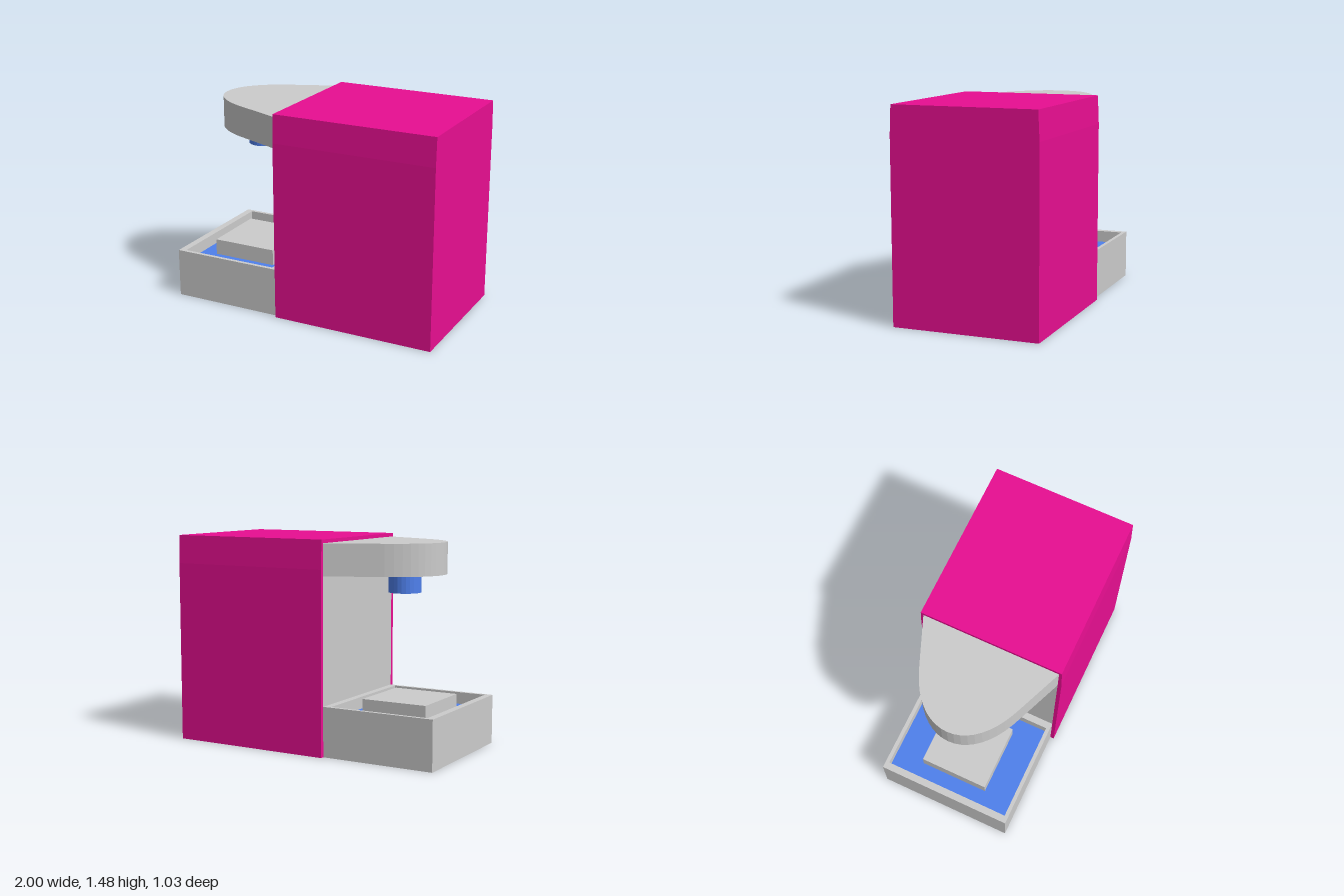
import * as THREE from 'three';

const grey = new THREE.MeshStandardMaterial({ color: 0xcccccc, flatShading: true });
const magenta = new THREE.MeshStandardMaterial({ color: 0xe80e91, flatShading: true });
const blue = new THREE.MeshStandardMaterial({ color: 0x4f80ec, flatShading: true });

export function createModel() {
  const model = new THREE.Group();
  const add = (name, geometry, material) => {
    const mesh = new THREE.Mesh(geometry, material);
    mesh.name = name;
    model.add(mesh);
    return mesh;
  };
  // Box given by its extents, centred on z = 0
  const box = (x0, x1, y0, y1, depth) =>
    new THREE.BoxGeometry(x1 - x0, y1 - y0, depth).translate((x0 + x1) / 2, (y0 + y1) / 2, 0);
  const rect = (x0, x1, half) => [[x0, -half], [x1, -half], [x1, half], [x0, half]].map(p => new THREE.Vector2(...p));
  // Plan shape (x, z) raised from y0 to y1
  const slab = (shape, y0, y1) =>
    new THREE.ExtrudeGeometry(shape, { depth: y1 - y0, bevelEnabled: false, curveSegments: 10 })
      .rotateX(-Math.PI / 2).translate(0, y0, 0);
  // Section (z, y) drawn out from x0 to x1
  const section = (points, x0, x1) =>
    new THREE.ExtrudeGeometry(new THREE.Shape(points.map(p => new THREE.Vector2(...p))), { depth: x1 - x0, bevelEnabled: false })
      .rotateY(Math.PI / 2).translate(x0, 0, 0);

  // Inner body and the coloured casing wrapped around it
  add('bodyCore', box(-0.18, 0.985, 0, 1.455, 0.98), grey);
  const outer = [[0.517, 0], [0.517, 1.28], [0.508, 1.48], [-0.508, 1.48], [-0.517, 1.28], [-0.517, 0]];
  const inner = [[-0.49, 0], [-0.49, 1.455], [0.49, 1.455], [0.49, 0]];
  add('casing', section([...outer, ...inner], -0.18, 0.985), magenta);
  add('casingBack', section(outer, 0.985, 1), magenta);

  // Tray with raised rim, floor and cup platform
  add('trayBase', box(-1, -0.18, 0, 0.25, 0.98), grey);
  const rim = new THREE.Shape(rect(-1, -0.18, 0.49));
  rim.holes.push(new THREE.Path(rect(-0.95, -0.23, 0.463)));
  add('trayRim', slab(rim, 0.25, 0.35), grey);
  add('trayFloor', box(-0.95, -0.23, 0.25, 0.265, 0.926), blue);
  add('cupPlatform', box(-0.83, -0.35, 0.265, 0.38, 0.496), grey);

  // Overhanging head with a rounded nose
  const head = new THREE.Shape();
  head.moveTo(-0.18, -0.49);
  head.lineTo(-0.18, 0.49);
  head.lineTo(-0.5, 0.36);
  head.bezierCurveTo(-0.71, 0.28, -0.835, 0.15, -0.835, 0);
  head.bezierCurveTo(-0.835, -0.15, -0.71, -0.28, -0.5, -0.36);
  head.closePath();
  add('head', slab(head, 1.235, 1.455), grey);

  // Spout below the head
  add('spout', new THREE.CylinderGeometry(0.113, 0.113, 0.13, 24).translate(-0.543, 1.17, 0), blue);

  return model;
}
